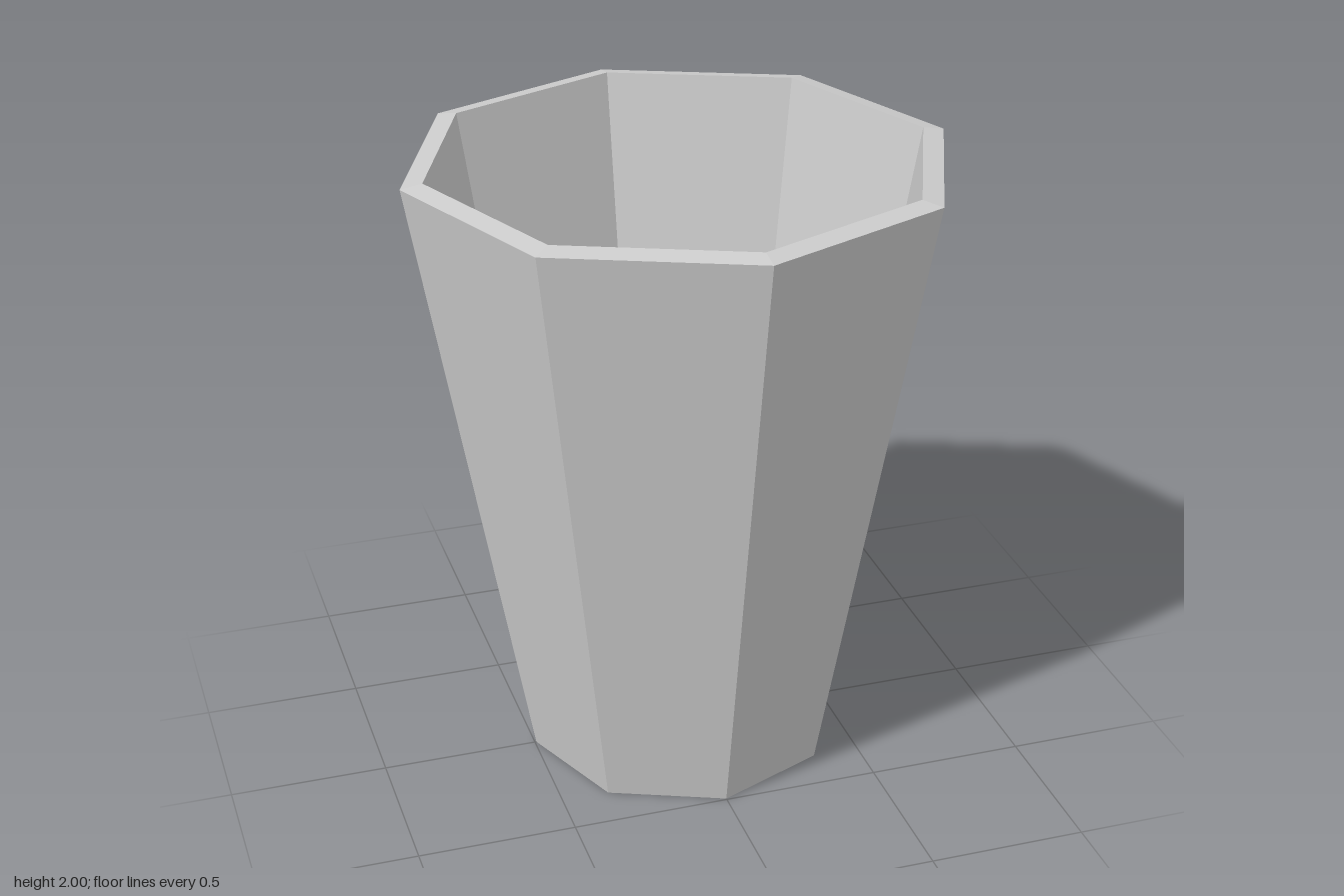
import * as THREE from 'three';

const SIDES = 8;

// Octagonal ring or shell swept from a radius/height profile, corners on the axes
function octagonal(name, profile, material) {
  const points = profile.map(([r, y]) => new THREE.Vector2(r, y));
  const mesh = new THREE.Mesh(new THREE.LatheGeometry(points, SIDES), material);
  mesh.name = name;
  return mesh;
}

export function createModel() {
  const group = new THREE.Group();
  group.name = 'cup';
  const material = new THREE.MeshStandardMaterial({ color: 0xcccccc, flatShading: true });

  const base = [0.495, 0];
  const rimOuter = [0.853, 1.988];
  const rimInner = [0.785, 2];
  const floor = [0.438, 0.065];

  // Outer shell: underside and tapered wall
  group.add(octagonal('underside', [[0, 0], base], material));
  group.add(octagonal('outerWall', [base, rimOuter], material));
  // Rim, tilted slightly outward
  group.add(octagonal('rim', [rimOuter, rimInner], material));
  // Hollow inside
  group.add(octagonal('innerWall', [rimInner, floor], material));
  group.add(octagonal('innerFloor', [floor, [0, floor[1]]], material));

  return group;
}
